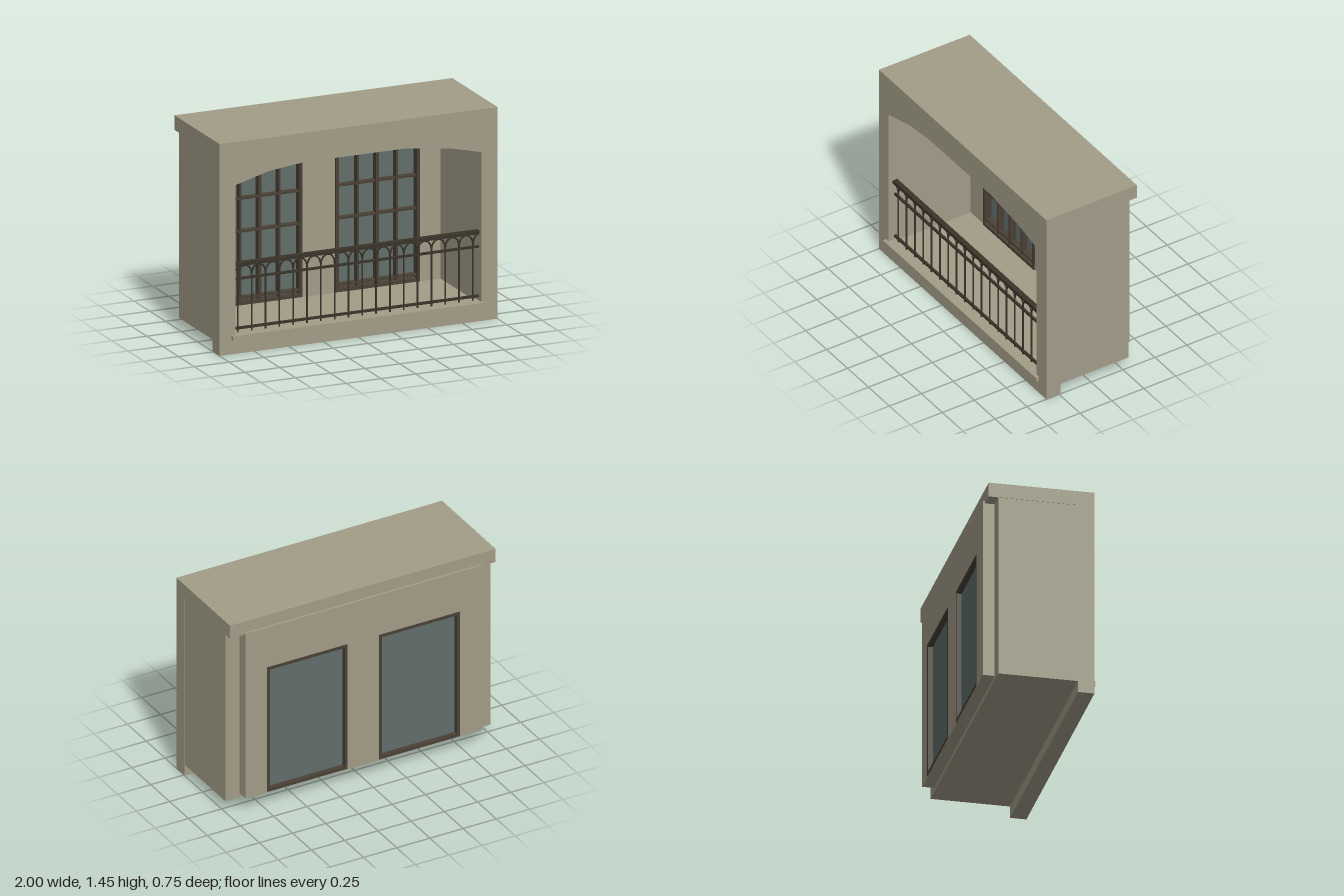
import * as THREE from 'three';

const mat = (name, color) => Object.assign(new THREE.MeshStandardMaterial({ color }), { name });

export function createModel() {
  const root = new THREE.Group();
  root.name = 'balcony';
  const plaster = mat('plaster', 0xa39d88);
  const wood = mat('dark wood', 0x4a4136);
  const iron = mat('dark iron', 0x3a3429);
  const glass = mat('glass', 0x626f6c);

  const add = (parent, name, geometry, material) => {
    const mesh = new THREE.Mesh(geometry, material);
    mesh.name = name;
    parent.add(mesh);
    return mesh;
  };
  // Box given by its limits on each axis
  const box = (parent, name, material, x0, x1, y0, y1, z0, z1) => {
    const g = new THREE.BoxGeometry(x1 - x0, y1 - y0, z1 - z0);
    g.translate((x0 + x1) / 2, (y0 + y1) / 2, (z0 + z1) / 2);
    return add(parent, name, g, material);
  };
  const polygon = (points, Type = THREE.Shape) => new Type(points.map(p => new THREE.Vector2(...p)));
  const rect = (x0, x1, y0, y1, Type) => polygon([[x0, y0], [x1, y0], [x1, y1], [x0, y1]], Type);
  const slab = (parent, name, material, shape, z0, z1) => {
    const g = new THREE.ExtrudeGeometry(shape, { depth: z1 - z0, bevelEnabled: false });
    g.translate(0, 0, z0);
    return add(parent, name, g, material);
  };

  // Front wall with a shallow faceted arch
  const front = rect(-1, 1, 0, 1.45);
  front.holes.push(polygon([
    [-0.885, 0.11], [0.885, 0.11], [0.885, 1.155], [0.66, 1.21], [0.34, 1.25],
    [-0.39, 1.25], [-0.64, 1.222], [-0.885, 1.155],
  ], THREE.Path));
  slab(root, 'frontWall', plaster, front, 0.24, 0.35);

  // Shell: sides, floor, roof and sill
  box(root, 'rightWall', plaster, -0.997, -0.885, 0.08, 1.35, -0.295, 0.24);
  box(root, 'leftWall', plaster, 0.885, 0.997, 0.08, 1.35, -0.295, 0.24);
  box(root, 'floor', plaster, -0.885, 0.885, 0.08, 0.11, -0.295, 0.24);
  box(root, 'roof', plaster, -1, 1, 1.35, 1.45, -0.36, 0.24);
  box(root, 'sill', plaster, -0.915, 0.915, 0.1, 0.13, 0.26, 0.375);

  // Back wall with two door openings
  const doorCentres = [-0.4175, 0.4275];
  const back = rect(-0.89, 0.89, 0.11, 1.365);
  for (const c of doorCentres) back.holes.push(rect(c - 0.295, c + 0.295, 0.125, 1.05, THREE.Path));
  slab(root, 'backWall', plaster, back, -0.375, -0.292);

  // Glazed double doors
  for (const c of doorCentres) {
    const door = new THREE.Group();
    door.name = 'door';
    root.add(door);
    const frame = rect(c - 0.303, c + 0.303, 0.115, 1.062);
    frame.holes.push(rect(c - 0.282, c + 0.282, 0.137, 1.04, THREE.Path));
    slab(door, 'doorFrame', wood, frame, -0.378, -0.28);
    box(door, 'doorGlass', glass, c - 0.285, c + 0.285, 0.13, 1.045, -0.345, -0.335);
    for (const [dx, w] of [[-0.14, 0.007], [0, 0.011], [0.14, 0.007]])
      box(door, 'verticalBar', wood, c + dx - w, c + dx + w, 0.13, 1.045, -0.336, -0.288);
    for (const y of [0.16, 0.39, 0.615, 0.84])
      box(door, 'horizontalBar', wood, c - 0.285, c + 0.285, y - 0.007, y + 0.007, -0.336, -0.291);
  }

  // Railing: three rails, balusters and a row of small arches
  const railing = new THREE.Group();
  railing.name = 'railing';
  root.add(railing);
  const z = 0.3, step = 0.0995, x0 = -8.5 * step;
  box(railing, 'handrail', iron, -0.885, 0.885, 0.585, 0.61, z - 0.018, z + 0.018);
  box(railing, 'middleRail', iron, -0.885, 0.885, 0.489, 0.504, z - 0.008, z + 0.008);
  box(railing, 'bottomRail', iron, -0.885, 0.885, 0.15, 0.166, z - 0.008, z + 0.008);

  const arc = (from, to) => {
    const pts = [];
    for (let i = 0; i <= 10; i++) {
      const a = from + (to - from) * i / 10;
      pts.push(new THREE.Vector3(Math.cos(a) * step / 2, 0.515 + Math.sin(a) * 0.068, z));
    }
    return new THREE.TubeGeometry(new THREE.CatmullRomCurve3(pts), 12, 0.006, 6);
  };
  const fullArch = arc(0, Math.PI);
  const balusterShape = new THREE.CylinderGeometry(0.006, 0.006, 0.4, 8);
  for (let i = 0; i < 18; i++) {
    const x = x0 + i * step;
    add(railing, 'baluster', balusterShape, iron).position.set(x, 0.327, z);
    if (i < 17) add(railing, 'railingArch', fullArch, iron).position.x = x + step / 2;
  }
  // Part arches meeting the side walls
  add(railing, 'endArch', arc(0, Math.PI * 0.45), iron).position.x = x0 - step / 2;
  add(railing, 'endArch', arc(Math.PI * 0.55, Math.PI), iron).position.x = -x0 + step / 2;

  return root;
}
